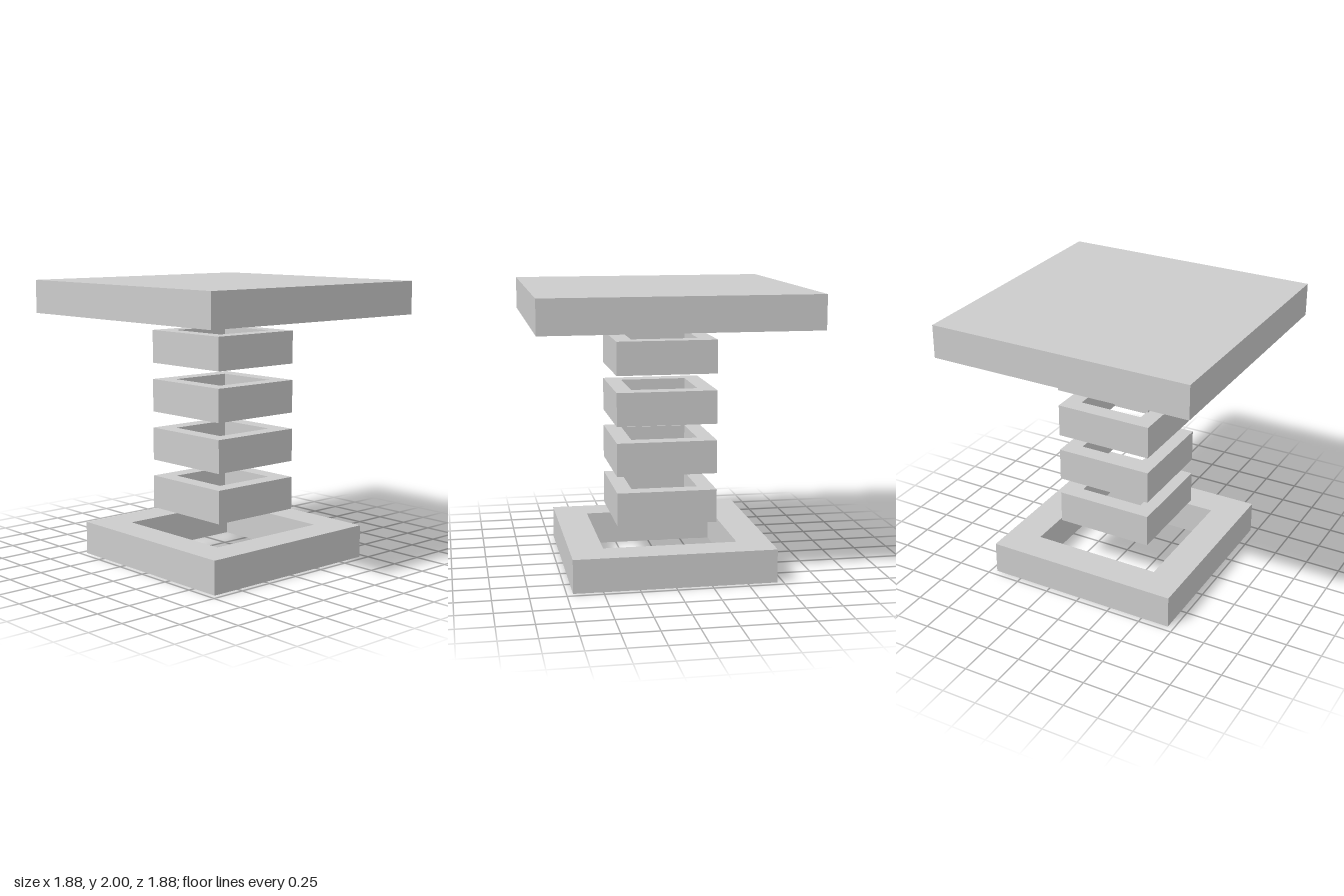
import * as THREE from 'three';

const U = 2 / 17; // every size is a whole number of these units
const HEIGHT = 2 * U;
const material = new THREE.MeshStandardMaterial({ color: 0xcccccc, flatShading: true });

// Square path centred on the origin
function square(PathType, half) {
  const h = half * U;
  return new PathType([[-h, -h], [h, -h], [h, h], [-h, h]].map(([x, y]) => new THREE.Vector2(x, y)));
}

// Square frame standing at the given level
function frame(name, outer, inner, level) {
  const shape = square(THREE.Shape, outer);
  shape.holes.push(square(THREE.Path, inner));
  const geometry = new THREE.ExtrudeGeometry(shape, { depth: HEIGHT, bevelEnabled: false });
  geometry.rotateX(-Math.PI / 2);
  const mesh = new THREE.Mesh(geometry, material);
  mesh.name = name;
  mesh.position.y = level * U;
  return mesh;
}

export function createModel() {
  const model = new THREE.Group();
  model.name = 'table';

  // Wide open base frame
  model.add(frame('baseFrame', 6, 4, 0));

  // Column of four floating square rings
  const column = new THREE.Group();
  column.name = 'column';
  for (let i = 0; i < 4; i++) column.add(frame(`columnRing${i + 1}`, 3, 2, 3 + 3 * i));
  model.add(column);

  // Solid square top
  const top = new THREE.Mesh(new THREE.BoxGeometry(16 * U, HEIGHT, 16 * U), material);
  top.name = 'tableTop';
  top.position.y = 16 * U;
  model.add(top);

  return model;
}
